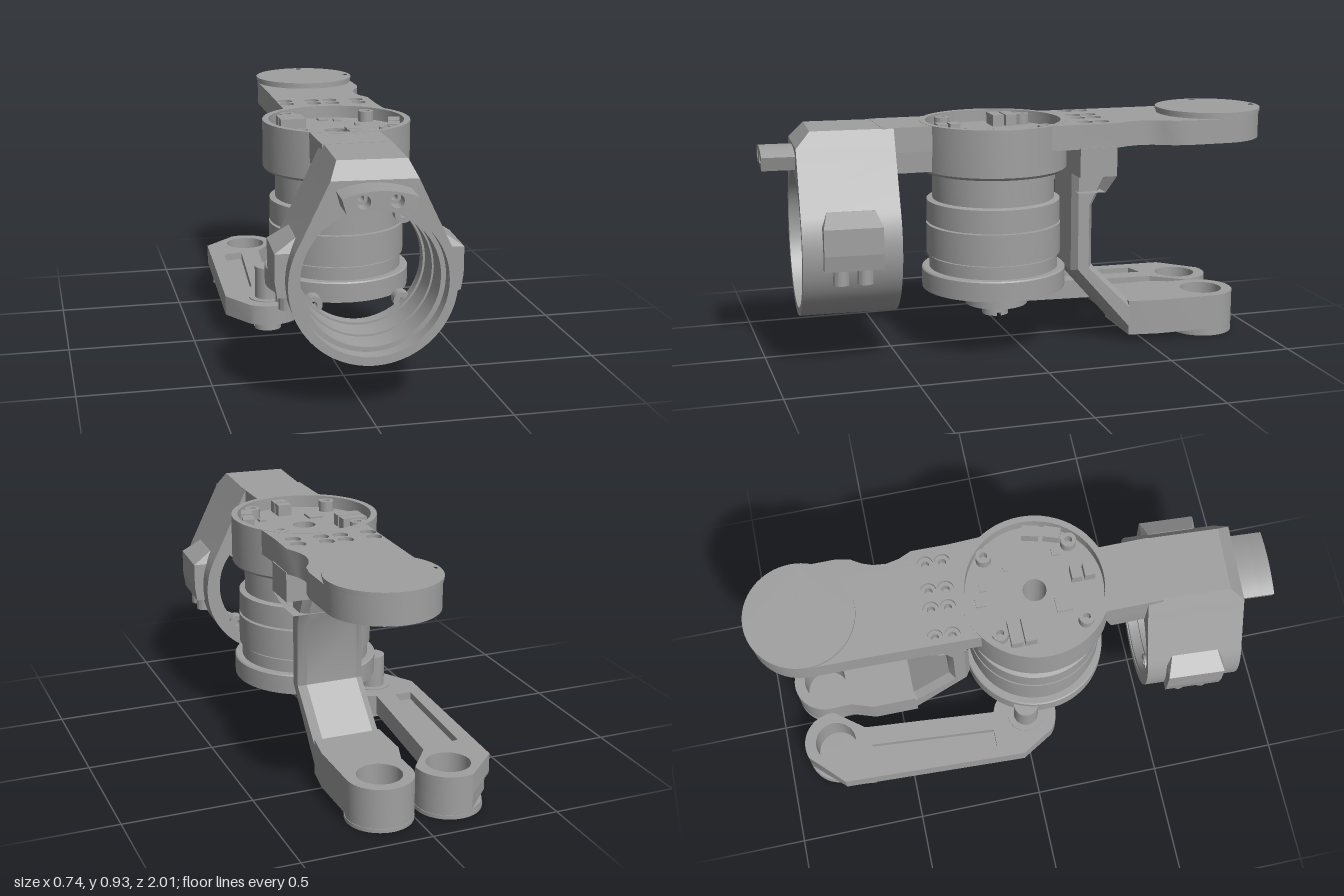
import * as THREE from 'three';
import { toCreasedNormals } from 'three/addons/utils/BufferGeometryUtils.js';

const grey = new THREE.MeshStandardMaterial({ color: 0xa0a0a0 });
grey.name = 'machined grey';

function add(parent, name, geometry) {
  const mesh = new THREE.Mesh(toCreasedNormals(geometry, 0.5), grey);
  mesh.name = name;
  parent.add(mesh);
  return mesh;
}

// Points along a circle
function arc(cx, cy, r, a0, a1, n = 24) {
  return Array.from({ length: n + 1 }, (_, i) => {
    const a = a0 + (a1 - a0) * i / n;
    return [cx + r * Math.cos(a), cy + r * Math.sin(a)];
  });
}
const circle = (cx, cy, r, n = 48) => arc(cx, cy, r, 0, Math.PI * 2 * (1 - 1 / n), n - 1);

function extrude(points, holes, depth, options = {}) {
  const vec = list => list.map(p => new THREE.Vector2(p[0], p[1]));
  const shape = new THREE.Shape(vec(points));
  holes.forEach(h => shape.holes.push(new THREE.Path(vec(h))));
  return new THREE.ExtrudeGeometry(shape, { depth, bevelEnabled: false, ...options });
}

// Flat slab from an (x, z) outline between two heights
function slab(points, y0, y1, holes = []) {
  const flip = list => list.map(p => [p[0], -p[1]]);
  return extrude(flip(points), holes.map(flip), y1 - y0).rotateX(-Math.PI / 2).translate(0, y0, 0);
}

function lathe(profile, x = 0, z = 0) {
  return new THREE.LatheGeometry(profile.map(p => new THREE.Vector2(p[0], p[1])), 64).translate(x, 0, z);
}

function cylinder(r, y0, y1, x, z) {
  return new THREE.CylinderGeometry(r, r, y1 - y0, 32).translate(x, (y0 + y1) / 2, z);
}

// Box whose bottom and top rectangles [x0, x1, z0, z1] differ
function frustum(bottom, y0, top, y1) {
  const g = new THREE.BoxGeometry(1, 1, 1), p = g.attributes.position;
  for (let i = 0; i < p.count; i++) {
    const up = p.getY(i) > 0, r = up ? top : bottom;
    p.setXYZ(i, p.getX(i) < 0 ? r[0] : r[1], up ? y1 : y0, p.getZ(i) < 0 ? r[2] : r[3]);
  }
  return g;
}
const block = (r, y0, y1) => frustum(r, y0, r, y1);

// Round cover with four shallow holes on its outer side
function cover(parent, name, x, z, r, y0, y1, facesUp) {
  const mid = (y0 + y1) / 2, holes = [];
  for (let i = 0; i < 4; i++) {
    const a = 0.08 + i * Math.PI / 2;
    holes.push(circle(x + r * 0.89 * Math.cos(a), z + r * 0.89 * Math.sin(a), r * 0.06, 12));
  }
  const [plain, drilled] = facesUp ? [[y0, mid], [mid, y1]] : [[mid, y1], [y0, mid]];
  add(parent, name + 'Base', cylinder(r * 0.985, ...plain, x, z));
  add(parent, name, slab(circle(x, z, r, 64), ...drilled, holes));
}

const MX = 0.063, MZ = 0.09; // motor axis

function buildPlate(root) {
  const outline = [
    ...arc(0.117, -0.795, 0.205, 0, -Math.PI, 32), [-0.09, -0.6],
    ...arc(MX, MZ, 0.285, -2.18, -4.124, 24), [-0.095, 0.55], [0.165, 0.55],
    ...arc(MX, MZ, 0.285, 1.205, -0.588, 24), [0.295, -0.2], [0.297, -0.34], [0.275, -0.39],
    [0.265, -0.44], [0.27, -0.49], [0.285, -0.53], [0.31, -0.57], [0.322, -0.63],
  ];
  const screws = [];
  [[-0.062, -0.315], [0.05, -0.31], [0.125, -0.305], [0.235, -0.297]].forEach(([x, z]) =>
    screws.push([x, z], [x - 0.003, z + 0.065]));
  add(root, 'topPlate', slab(outline, 0.81, 0.906,
    [circle(MX, MZ, 0.27), circle(0.117, -0.795, 0.14), ...screws.map(s => circle(s[0], s[1], 0.03, 20))]));
  screws.forEach(([x, z]) => add(root, 'plateScrew', lathe(
    [[0, 0.812], [0.03, 0.812], [0.03, 0.893], [0.015, 0.893], [0.015, 0.86], [0, 0.86]], x, z)));
  cover(root, 'plateCover', 0.117, -0.795, 0.21, 0.906, 0.93, true);
  add(root, 'frontGusset', frustum([-0.09, 0.16, 0.36, 0.52], 0.73, [-0.095, 0.165, 0.33, 0.52], 0.82));
}

function buildMotor(root) {
  // Housing with a shallow tray on top
  add(root, 'housing', lathe([[0.045, 0.715], [0.28, 0.715], [0.288, 0.725], [0.288, 0.907], [0.264, 0.907],
    [0.264, 0.858], [0.045, 0.858], [0.045, 0.715]], MX, MZ));
  // Stacked motor rings
  add(root, 'motor', lathe([[0.09, 0.26], [0.285, 0.26], [0.285, 0.32], [0.28, 0.325], [0.255, 0.325], [0.255, 0.375],
    [0.245, 0.375], [0.245, 0.383], [0.265, 0.383], [0.265, 0.502], [0.245, 0.502], [0.245, 0.51], [0.263, 0.51],
    [0.263, 0.597], [0.24, 0.602], [0.24, 0.72], [0.045, 0.72], [0.045, 0.35], [0.09, 0.35], [0.09, 0.26]], MX, MZ));
  const bolts = [];
  for (let i = 0; i < 8; i++) {
    const a = (i + 0.5) * Math.PI / 4;
    bolts.push(circle(MX + 0.225 * Math.cos(a), MZ + 0.225 * Math.sin(a), 0.024, 20));
  }
  add(root, 'motorFlange', slab(circle(MX, MZ, 0.284, 64), 0.245, 0.261, [circle(MX, MZ, 0.09), ...bolts]));
  // Circuit board: posts, connectors and chips
  [-1, 1].forEach(sx => [-1, 1].forEach(sz => add(root, 'trayPost', lathe(
    [[0.014, 0.85], [0.03, 0.85], [0.03, 0.9], [0.014, 0.9], [0.014, 0.85]], MX + sx * 0.16, MZ + sz * 0.165))));
  [[-0.1, -0.02, 0.1, 0.045, 0], [-0.1, 0.033, 0.1, 0.045, 0], [0.287, 0.12, 0.045, 0.065, -0.25],
    [0.265, 0.2, 0.045, 0.065, -0.35], [0.09, 0.255, 0.055, 0.04, 0], [0.09, 0.305, 0.055, 0.04, 0]]
    .forEach(([x, z, w, d, turn]) => add(root, 'connector',
      new THREE.BoxGeometry(w, 0.05, d).rotateY(turn).translate(x, 0.878, z)));
  [[-0.015, 0.185, 0.06], [0.055, -0.12, 0.04], [0.11, -0.1, 0.03], [0.2, 0.2, 0.03], [0.17, 0.0, 0.02]]
    .forEach(([x, z, s]) => add(root, 'chip', block([x - s / 2, x + s / 2, z - s / 2, z + s / 2], 0.855, 0.866)));
}

function buildCameraRing(root) {
  const ring = new THREE.Group();
  ring.name = 'cameraRing';
  ring.position.set(0.03, 0.475, 0.685);
  ring.rotation.y = -0.06;
  root.add(ring);
  // Clamp body with tapering shoulders
  add(ring, 'ringBody', extrude([...arc(0, 0, 0.3, 0.52, -Math.PI - 0.52, 64), [-0.154, 0.37], [0.154, 0.37]],
    [circle(0, 0, 0.268, 64)], 0.37).translate(0, 0, -0.185));
  add(ring, 'ringRoof', frustum([-0.154, 0.154, -0.185, 0.185], 0.37, [-0.125, 0.125, -0.185, 0.13], 0.43));
  // Stepped bore, profile heights run along the ring axis
  add(ring, 'ringLiner', lathe([[0.27, -0.18], [0.27, 0.13], [0.25, 0.13], [0.25, 0.02], [0.243, 0.02],
    [0.243, -0.09], [0.235, -0.09], [0.235, -0.14], [0.25, -0.14], [0.25, -0.18], [0.27, -0.18]])
    .rotateX(Math.PI / 2));
  // Rear screw lugs
  [45, 135, 225, 315].forEach(deg => {
    const a = deg * Math.PI / 180;
    add(ring, 'ringLug', lathe([[0.013, -0.16], [0.033, -0.16], [0.033, -0.11], [0.013, -0.11], [0.013, -0.16]])
      .rotateX(Math.PI / 2).translate(0.234 * Math.cos(a), 0.234 * Math.sin(a), 0));
  });
  // Clamp ears with screws, mirrored
  [-1, 1].forEach(s => {
    const span = (a, b, d) => [Math.min(s * a, s * b), Math.max(s * a, s * b), -d, d];
    add(ring, 'clampEar', frustum(span(0.28, 0.328, 0.11), -0.06, span(0.28, 0.337, 0.11), 0));
    add(ring, 'clampEar', block(span(0.275, 0.337, 0.11), 0, 0.1));
    add(ring, 'clampEarTop', frustum(span(0.25, 0.337, 0.11), 0.1, span(0.22, 0.262, 0.09), 0.15));
    [-0.045, 0.045].forEach(z => add(ring, 'clampScrew', cylinder(0.03, -0.12, -0.05, s * 0.285, z)));
  });
  // Curved front tab with two counterbored holes
  const tab = [...arc(0, 0, 0.362, 1.94, 1.2, 12), [0.115, 0.285], ...arc(0, 0, 0.297, 1.32, 1.82, 10), [-0.115, 0.285]];
  const place = g => g.translate(-0.005, 0, 0);
  add(ring, 'frontTab', place(extrude(tab, [circle(-0.057, 0.325, 0.024, 20), circle(0.057, 0.325, 0.024, 20)], 0.06)
    .translate(0, 0, 0.25)));
  add(ring, 'frontTabBase', place(extrude(tab, [circle(-0.057, 0.325, 0.012, 16), circle(0.057, 0.325, 0.012, 16)], 0.08)
    .translate(0, 0, 0.17)));
}

function buildRearArm(root) {
  // Cranked arm: side profile in (z, y), extruded along x
  const profile = [[-0.19, 0.81], [-0.19, 0.31], [-0.435, 0.03], [-0.47, 0.03], [-0.47, 0.17], [-0.435, 0.17],
    [-0.275, 0.33], [-0.275, 0.57], [-0.33, 0.68], [-0.34, 0.81]].map(([z, y]) => [-z, y]);
  add(root, 'rearArm', extrude(profile, [], 0.206, {
    bevelEnabled: true, bevelThickness: 0.03, bevelSize: 0.02, bevelOffset: -0.02, bevelSegments: 1,
  }).rotateY(Math.PI / 2).translate(-0.01, 0, 0));
  add(root, 'rearArmHead', frustum([-0.04, 0.26, -0.2, -0.31], 0.63, [-0.06, 0.3, -0.19, -0.34], 0.7).scale(1, 1, 1));
  add(root, 'rearArmHead', block([-0.06, 0.3, -0.34, -0.19], 0.7, 0.815));
  add(root, 'armPivot', slab([[-0.04, -0.43], [0.226, -0.43], [0.245, -0.55], ...arc(0.117, -0.79, 0.128, 0, -Math.PI),
    [-0.01, -0.7], [-0.027, -0.65], [-0.04, -0.61]], 0.03, 0.17, [circle(0.117, -0.79, 0.085)]));
  cover(root, 'armCover', 0.117, -0.79, 0.128, 0, 0.03, false);
}

function buildLink(root) {
  const slot = [[-0.31, -0.14], [-0.24, -0.14], [-0.2, -0.645], [-0.28, -0.625]];
  const hole = circle(-0.158, -0.79, 0.083);
  const rearEnd = arc(-0.158, -0.79, 0.128, 0.1, -1.9);
  add(root, 'link', slab([...rearEnd, [-0.333, -0.78], [-0.365, -0.035],
    ...arc(-0.2, 0, 0.13, 2.3, -1.3), [-0.12, -0.66]], 0.09, 0.168, [slot, hole]));
  add(root, 'linkWeb', slab(slot, 0.118, 0.138));
  add(root, 'linkPivot', slab([...rearEnd, [-0.31, -0.79], [-0.325, -0.66], [-0.12, -0.64]], 0.03, 0.1, [hole]));
  cover(root, 'linkCover', -0.158, -0.79, 0.128, 0, 0.03, false);
  // Pivot pin and slotted screw
  add(root, 'linkPin', cylinder(0.05, 0.08, 0.3, -0.2, 0.005));
  add(root, 'linkWasher', cylinder(0.075, 0.165, 0.172, -0.2, 0.005));
  add(root, 'linkScrew', cylinder(0.055, 0.055, 0.08, -0.2, 0.005));
  [-1, 1].forEach(s => add(root, 'linkScrewHead', slab(
    arc(-0.2, 0.005, 0.055, s * Math.PI / 2 - 1.4, s * Math.PI / 2 + 1.4, 16), 0.042, 0.056)));
}

export function createModel() {
  const root = new THREE.Group();
  root.name = 'cameraGimbal';
  buildPlate(root);
  buildMotor(root);
  buildCameraRing(root);
  buildRearArm(root);
  buildLink(root);
  return root;
}
